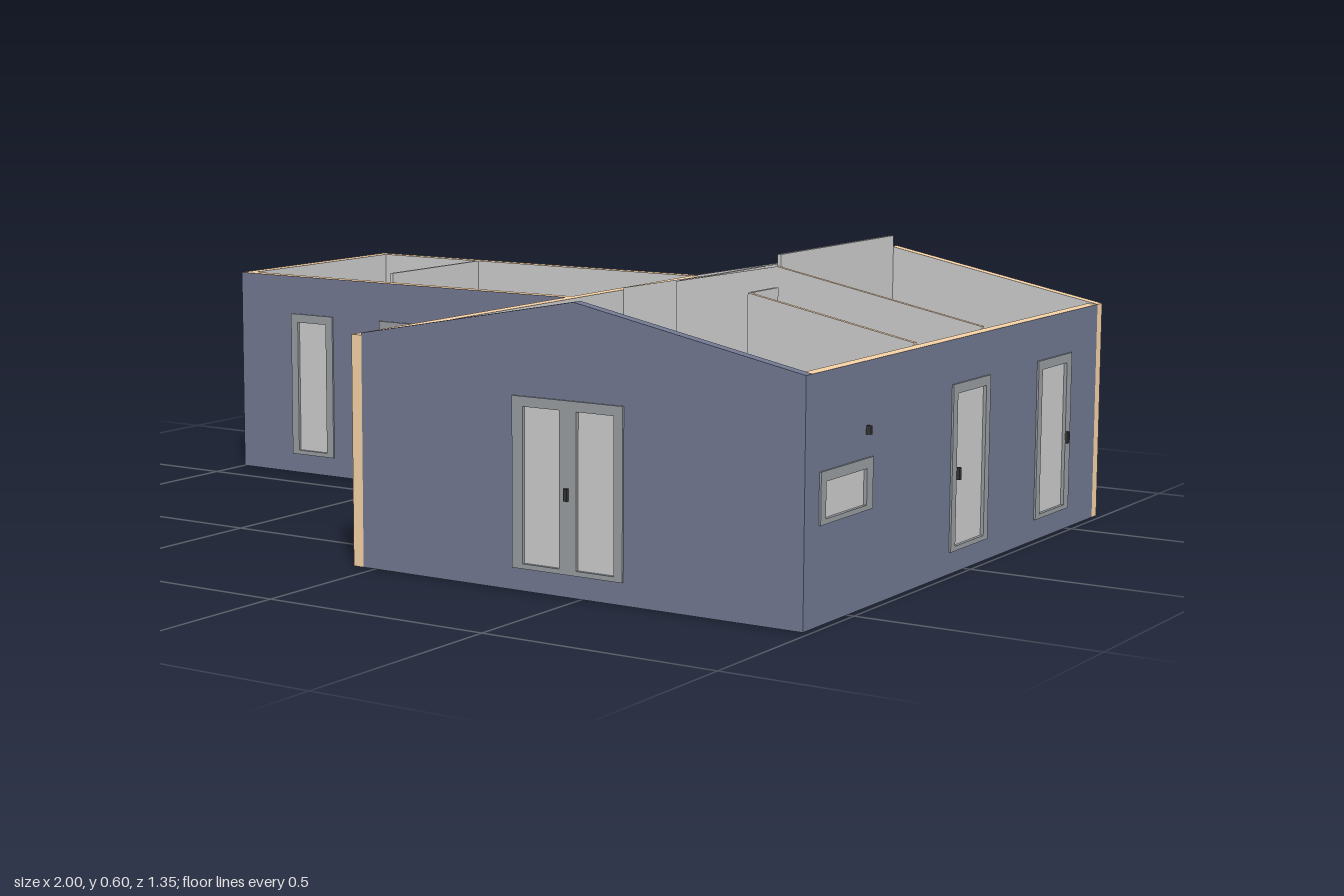
import * as THREE from 'three';

const GREY = 0xcccccc, BLUE = 0x717891, TIMBER = 0xf6d2a6, FLOOR = 0xe4d0b3, FRAME = 0x989da1;
const DARK = 0x575757, BROWN = 0x7a6a5e, COUNTER = 0x4a403c, DOOR = 0xd8bf92, BLACK = 0x333333, BASE = 0x484b4b;
const T = 0.025, F = 0.04, H = 0.475, RIDGE = 0.48;
const mats = new Map();
const mat = (c) => {
  if (!mats.has(c)) mats.set(c, new THREE.MeshStandardMaterial({ color: c }));
  return mats.get(c);
};
const roofAt = (x) => H + 0.1 * Math.max(0, 1 - Math.abs(x - RIDGE) / (x < RIDGE ? 0.535 : 0.505));

function group(parent, name, x = 0, y = 0, z = 0, ry = 0) {
  const g = new THREE.Group();
  g.name = name;
  g.position.set(x, y, z);
  g.rotation.y = ry;
  parent.add(g);
  return g;
}
function add(parent, name, geo, material) {
  const m = new THREE.Mesh(geo, material);
  m.name = name;
  parent.add(m);
  return m;
}
function box(parent, name, c, x0, x1, y0, y1, z0, z1) {
  const m = add(parent, name, new THREE.BoxGeometry(x1 - x0, y1 - y0, z1 - z0), mat(c));
  m.position.set((x0 + x1) / 2, (y0 + y1) / 2, (z0 + z1) / 2);
  return m;
}
function rectPath([a, b, c, d]) {
  return new THREE.Path([[a, c], [b, c], [b, d], [a, d]].map((p) => new THREE.Vector2(...p)));
}
// Flat panel with rectangular holes [u0, u1, y0, y1], spanning local z0..z1
function panel(parent, name, pts, holes, z0, z1, face, edge = face) {
  const s = new THREE.Shape(pts.map((p) => new THREE.Vector2(...p)));
  s.holes = holes.map(rectPath);
  const geo = new THREE.ExtrudeGeometry(s, { depth: z1 - z0, bevelEnabled: false });
  geo.translate(0, 0, z0);
  return add(parent, name, geo, [mat(face), mat(edge)]);
}
const quad = (a, b, c, d) => [[a, c], [b, c], [b, d], [a, d]];

// Outer wall: cladding outside (local z = 0), lining inside, timber edges
function wall(parent, name, pts, openings, x, z, ry, edge = TIMBER) {
  const g = group(parent, name, x, 0, z, ry);
  const holes = openings.map((o) => o.rect);
  panel(g, 'cladding', pts, holes, -T / 2, 0, BLUE, edge);
  panel(g, 'lining', pts, holes, -T, -T / 2, GREY, edge);
  for (const o of openings) {
    if (o.door) {
      const [a, b, c, d] = o.rect;
      box(g, 'door', DOOR, a, b, c, d, -T - 0.003, 0.003);
      box(g, 'doorHandle', BLACK, b - 0.03, b - 0.012, 0.2, 0.207, -T - 0.012, 0.012);
      continue;
    }
    panel(g, 'windowFrame', quad(...o.rect), o.panes, -T - 0.004, 0.004, FRAME);
    for (const p of o.panes) {
      box(g, 'windowPane', GREY, p[0], p[1], p[2], p[3], -0.017, -0.003);
    }
    if (o.handle !== undefined) box(g, 'windowHandle', BLACK, o.handle - 0.004, o.handle + 0.004, 0.19, 0.215, -T - 0.01, 0.01);
  }
}

// Inner partitions along x (sloped top) and along z (level top)
function partitionX(parent, x0, x1, z, doors = []) {
  const pts = [[x0, F], [x1, F], [x1, roofAt(x1)]];
  if (x0 < RIDGE && x1 > RIDGE) pts.push([RIDGE, roofAt(RIDGE)]);
  pts.push([x0, roofAt(x0)]);
  const g = group(parent, 'partition', 0, 0, z);
  panel(g, 'partitionPanel', pts, doors.map((d) => [d, d + 0.135, F + 0.002, 0.37]), -0.005, 0.005, GREY, TIMBER);
  for (const d of doors) {
    box(g, 'innerDoor', DOOR, d, d + 0.135, F + 0.002, 0.37, -0.007, 0.007);
    box(g, 'doorHandle', BLACK, d + 0.1, d + 0.125, 0.2, 0.207, -0.017, 0.017);
  }
}
const partitionZ = (parent, x, z0, z1, top) => box(parent, 'partition', GREY, x - 0.004, x + 0.004, F, top, z0, z1);

function bed(parent, x0, x1, pillows) {
  const g = group(parent, 'bed');
  const w = x1 - x0, pw = (w - 0.02) / pillows;
  box(g, 'bedFrame', BLACK, x0, x1, F + 0.02, F + 0.045, -0.643, -0.34);
  box(g, 'mattress', GREY, x0 + 0.007, x1 - 0.007, F + 0.045, F + 0.08, -0.635, -0.35);
  box(g, 'blanket', DARK, x0 + 0.003, x1 - 0.003, F + 0.046, F + 0.085, -0.575, -0.345);
  for (let i = 0; i < pillows; i++) box(g, 'pillow', GREY, x0 + 0.013 + i * pw, x0 + 0.007 + (i + 1) * pw, F + 0.08, F + 0.1, -0.63, -0.585);
  for (const x of [x0, x1 - 0.008]) for (const z of [-0.643, -0.348]) box(g, 'bedLeg', BLACK, x, x + 0.008, F, F + 0.05, z, z + 0.008);
  box(g, 'headboardRail', BLACK, x0, x1, F + 0.16, F + 0.17, -0.644, -0.637);
  const n = Math.round(w / 0.022);
  for (let i = 0; i <= n; i++) {
    const x = x0 + (i * (w - 0.006)) / n;
    box(g, 'headboardSlat', BLACK, x, x + 0.006, F + 0.04, F + 0.16, -0.643, -0.638);
  }
}
function chair(parent, x, z, ry) {
  const g = group(parent, 'chair', x, F, z, ry);
  box(g, 'chairSeat', DARK, -0.032, 0.032, 0.068, 0.077, -0.032, 0.032);
  box(g, 'chairBack', DARK, -0.032, 0.032, 0.077, 0.145, -0.034, -0.027);
  for (const a of [-0.03, 0.024]) for (const b of [-0.03, 0.024]) box(g, 'chairLeg', BLACK, a, a + 0.006, 0, 0.068, b, b + 0.006);
}
function legs(parent, c, x0, x1, z0, z1, top) {
  for (const x of [x0, x1 - 0.008]) for (const z of [z0, z1 - 0.008]) box(parent, 'leg', c, x, x + 0.008, F, top, z, z + 0.008);
}

export function createModel() {
  const root = new THREE.Group();
  root.name = 'house';
  // Floor slabs with dark underside
  for (const [x0, x1, z0, z1] of [[-0.03, 0.96, -0.645, 0.645], [-0.975, -0.055, -0.645, -0.13]]) {
    box(root, 'floor', FLOOR, x0, x1, 0.02, F, z0, z1);
    box(root, 'floorBase', BASE, x0, x1, 0.003, 0.02, z0, z1);
  }
  // Outer walls
  const win = (a, b, panes, handle) => ({ rect: [a, b, 0.045, 0.385], panes: panes.map(([p, q]) => [p, q, 0.055, 0.365]), handle });
  const gable = [[-0.03, 0], [0.985, 0], [0.985, H], [RIDGE, roofAt(RIDGE)], [-0.03, roofAt(-0.03)]];
  wall(root, 'frontGable', gable, [win(0.34, 0.595, [[0.365, 0.45], [0.49, 0.575]], 0.468)], 0, 0.67, 0, BLUE);
  wall(root, 'backGable', [[-0.985, 0], [0.055, 0], [0.055, H], [-RIDGE, roofAt(RIDGE)], [-0.985, H]], [], 0, -0.67, Math.PI);
  wall(root, 'rightWall', quad(-0.645, 0.645, 0, H), [
    win(-0.07, 0.1, [[-0.05, 0.08]], -0.045), win(0.335, 0.505, [[0.355, 0.48]], 0.485),
    { rect: [-0.615, -0.41, 0.19, 0.29], panes: [[-0.595, -0.435, 0.2, 0.27]] },
  ], 0.985, 0, Math.PI / 2);
  wall(root, 'leftWall', quad(-0.645, 0.67, 0, H), [
    win(0.19, 0.52, [[0.21, 0.345], [0.365, 0.5]], 0.355), { door: true, rect: [-0.275, -0.14, F, 0.37] },
  ], -0.055, 0, -Math.PI / 2);
  wall(root, 'wingFrontWall', quad(-1, -0.055, 0, H), [
    win(-0.845, -0.72, [[-0.825, -0.74]]), win(-0.58, -0.25, [[-0.56, -0.425], [-0.405, -0.26]], -0.425),
  ], 0, -0.105, 0);
  wall(root, 'wingBackWall', quad(0.055, 1, 0, H), [], 0, -0.67, Math.PI);
  wall(root, 'wingEndWall', quad(-0.645, -0.13, 0, H), [], -1, 0, -Math.PI / 2);
  box(root, 'wallLamp', BLACK, 0.985, 0.995, 0.335, 0.352, 0.428, 0.434);
  // Partitions
  partitionX(root, 0.23, 0.96, -0.118, [0.3, 0.495]);
  partitionX(root, -0.03, 0.235, -0.31, [0.085]);
  partitionX(root, 0.235, 0.476, -0.49);
  partitionX(root, 0.585, 0.96, 0.186);
  partitionZ(root, 0.48, -0.645, -0.123, 0.6);
  partitionZ(root, 0.235, -0.485, -0.123, roofAt(0.235));
  partitionZ(root, 0.589, 0.08, 0.181, 0.555);
  partitionZ(root, -0.685, -0.645, -0.29, H);
  // Fitted wardrobes
  for (const [x0, x1, z0, z1] of [[-0.975, -0.885, -0.645, -0.145], [-0.885, -0.69, -0.645, -0.56],
    [0.68, 0.96, -0.22, -0.124], [0.594, 0.96, 0.085, 0.18]]) box(root, 'wardrobe', GREY, x0, x1, F, 0.4, z0, z1);
  // Bedrooms
  bed(root, -0.535, -0.315, 2);
  bed(root, 0.5, 0.645, 1);
  for (const x of [-0.612, -0.305, 0.665]) box(root, 'nightstand', BROWN, x, x + 0.067, F, F + 0.085, -0.643, -0.595);
  box(root, 'deskTop', DARK, 0.775, 0.93, F + 0.11, F + 0.12, -0.643, -0.55);
  legs(root, BLACK, 0.775, 0.93, -0.643, -0.55, F + 0.11);
  box(root, 'monitor', BLACK, 0.805, 0.9, F + 0.135, F + 0.19, -0.62, -0.614);
  box(root, 'monitorStand', BLACK, 0.845, 0.86, F + 0.12, F + 0.14, -0.625, -0.61);
  chair(root, 0.835, -0.51, Math.PI + 0.15);
  // Bathroom
  const toilet = group(root, 'toilet');
  box(toilet, 'cistern', GREY, -0.03, -0.005, F, F + 0.13, -0.62, -0.555);
  const bowl = add(toilet, 'bowl', new THREE.CylinderGeometry(0.03, 0.02, 0.07, 20), mat(GREY));
  bowl.scale.x = 1.3;
  bowl.position.set(0.03, F + 0.035, -0.588);
  box(root, 'vanity', GREY, -0.03, 0.06, F, F + 0.13, -0.5, -0.4);
  const basin = add(root, 'basin', new THREE.TorusGeometry(0.028, 0.006, 8, 24), mat(FRAME));
  basin.rotation.x = Math.PI / 2;
  basin.position.set(0.022, F + 0.131, -0.452);
  box(root, 'bathCabinet', FLOOR, -0.03, 0.06, F, F + 0.11, -0.4, -0.317);
  box(root, 'towelRail', BLACK, 0.13, 0.21, 0.3, 0.31, -0.645, -0.636);
  box(root, 'showerHead', BLACK, 0.455, 0.476, 0.36, 0.366, -0.56, -0.535);
  // Living area
  const sofa = group(root, 'sofa');
  box(sofa, 'sofaBase', FLOOR, 0.02, 0.345, F + 0.015, F + 0.045, 0.085, 0.22);
  box(sofa, 'sofaBack', FLOOR, 0.03, 0.335, F + 0.045, F + 0.13, 0.085, 0.115);
  for (const x of [0.015, 0.333]) box(sofa, 'sofaArm', FLOOR, x, x + 0.017, F, F + 0.1, 0.083, 0.215);
  for (const x of [0.034, 0.184]) box(sofa, 'sofaCushion', FLOOR, x, x + 0.147, F + 0.045, F + 0.07, 0.117, 0.226);
  box(root, 'coffeeTable', BROWN, 0.11, 0.25, F + 0.05, F + 0.06, 0.245, 0.33);
  legs(root, BROWN, 0.11, 0.25, 0.245, 0.33, F + 0.05);
  box(root, 'mediaStand', BROWN, 0.065, 0.315, F, F + 0.07, 0.58, 0.632);
  box(root, 'screen', BLACK, 0.11, 0.27, F + 0.08, F + 0.175, 0.604, 0.611);
  box(root, 'screenFoot', BLACK, 0.165, 0.215, F + 0.07, F + 0.08, 0.595, 0.62);
  // Kitchen
  box(root, 'diningTop', COUNTER, 0.58, 0.71, F + 0.125, F + 0.14, 0.38, 0.643);
  legs(root, COUNTER, 0.58, 0.71, 0.38, 0.643, F + 0.125);
  box(root, 'baseCabinets', TIMBER, 0.71, 0.96, F, F + 0.13, 0.555, 0.643);
  box(root, 'worktop', COUNTER, 0.71, 0.96, F + 0.13, F + 0.14, 0.55, 0.643);
  box(root, 'sideCabinets', TIMBER, 0.875, 0.96, F, F + 0.13, 0.375, 0.55);
  box(root, 'sideWorktop', COUNTER, 0.87, 0.96, F + 0.13, F + 0.14, 0.375, 0.55);
  box(root, 'hob', DARK, 0.725, 0.81, F + 0.14, F + 0.144, 0.555, 0.585);
  box(root, 'sink', FRAME, 0.885, 0.915, F + 0.14, F + 0.144, 0.46, 0.53);
  box(root, 'tallCupboard', FLOOR, 0.872, 0.96, F, 0.4, 0.192, 0.372);
  box(root, 'upperCupboards', FLOOR, 0.63, 0.96, 0.3, 0.42, 0.592, 0.64);
  box(root, 'sideUpperCupboards', FLOOR, 0.912, 0.96, 0.3, 0.42, 0.372, 0.592);
  chair(root, 0.65, 0.375, 0.2);
  chair(root, 0.575, 0.5, Math.PI / 2 - 0.25);
  return root;
}
